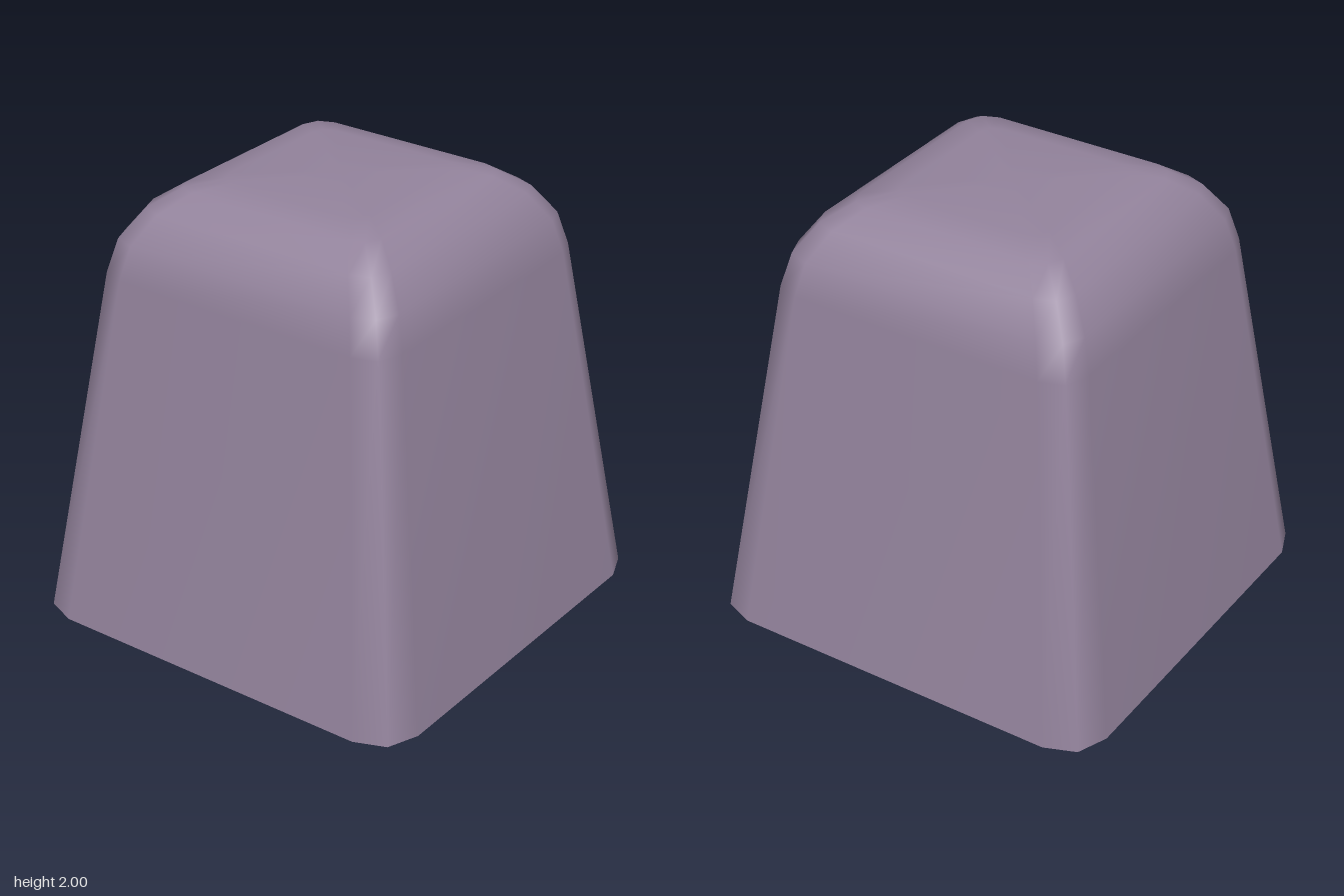
import * as THREE from 'three';

// Height and half-width of each cross-section, from the open rim to the top
const RINGS = [[0, 0.97], [1.61, 0.74], [1.76, 0.70], [1.89, 0.61], [1.97, 0.495], [2, 0.36]];
// One rounded corner of a unit square section
const CORNER = [[1, 0.8], [0.943, 0.943], [0.8, 1]];

// Full section: the corner turned through four quarters
function sectionPoints() {
  const points = [];
  for (let q = 0; q < 4; q++) {
    for (const [cx, cz] of CORNER) {
      let x = cx, z = cz;
      for (let k = 0; k < q; k++) [x, z] = [-z, x];
      points.push([x, z]);
    }
  }
  return points;
}

function shellGeometry() {
  const section = sectionPoints();
  const n = section.length;
  const positions = [];
  const indices = [];
  for (const [y, half] of RINGS) {
    for (const [x, z] of section) positions.push(x * half, y, z * half);
  }
  // Side walls and rounded shoulder
  for (let r = 0; r < RINGS.length - 1; r++) {
    for (let i = 0; i < n; i++) {
      const j = (i + 1) % n;
      const a = r * n + i, b = r * n + j, c = a + n, d = b + n;
      indices.push(a, c, b, b, c, d);
    }
  }
  // Flat top
  const last = (RINGS.length - 1) * n;
  const centre = positions.length / 3;
  positions.push(0, 2, 0);
  for (let i = 0; i < n; i++) indices.push(centre, last + (i + 1) % n, last + i);

  const geometry = new THREE.BufferGeometry();
  geometry.setAttribute('position', new THREE.Float32BufferAttribute(positions, 3));
  geometry.setIndex(indices);
  geometry.computeVertexNormals();
  return geometry;
}

export function createModel() {
  const model = new THREE.Group();
  model.name = 'taperedCap';
  const mauve = new THREE.MeshStandardMaterial({ color: 0x93839c, side: THREE.DoubleSide });
  mauve.name = 'mauve';
  // Thin shell, open underneath
  const shell = new THREE.Mesh(shellGeometry(), mauve);
  shell.name = 'capShell';
  model.add(shell);
  return model;
}
